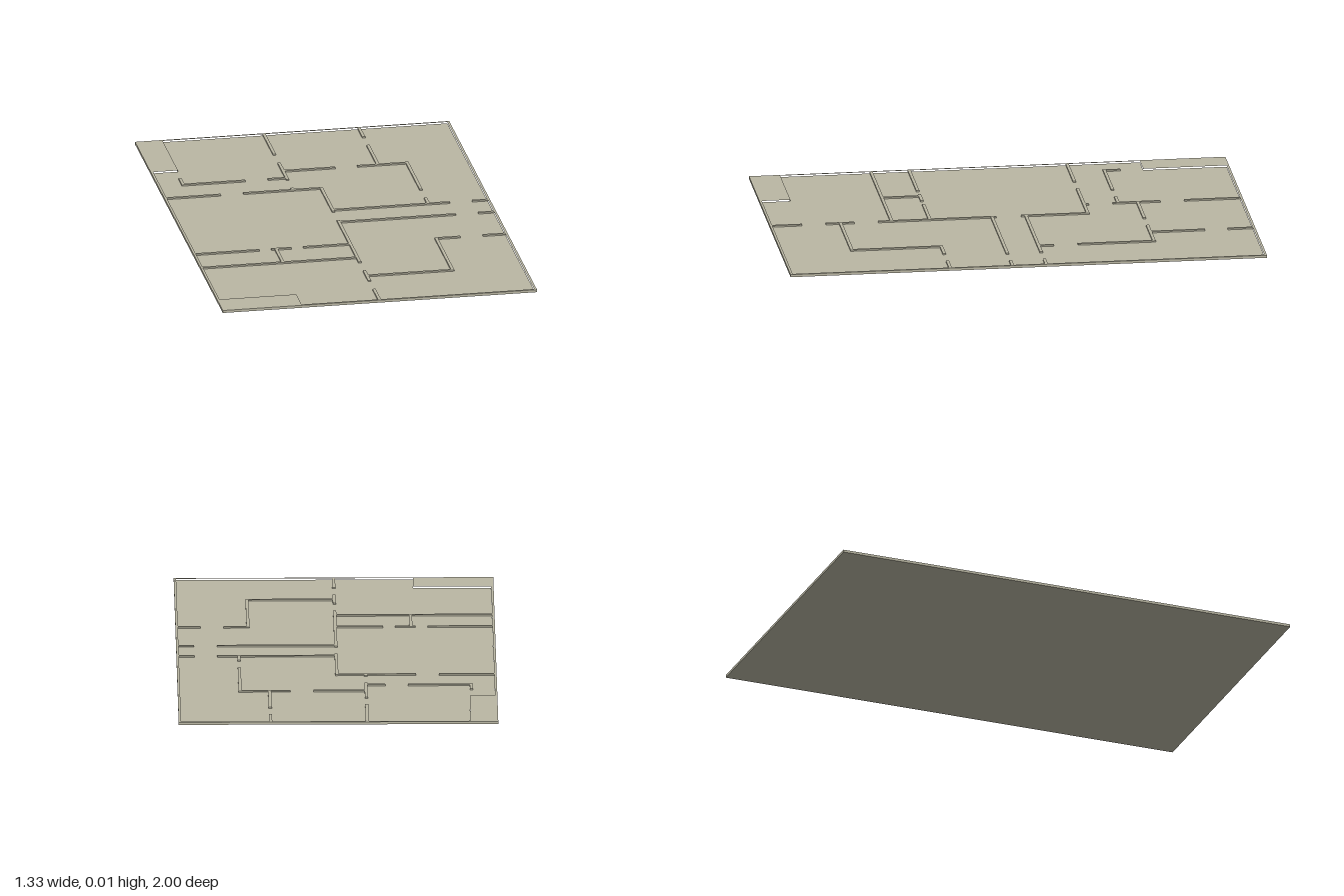
import * as THREE from 'three';

const W = 0.665, D = 1, TOP = 0.011, FLOOR = 0.005, T = 0.013, RIM = 0.01;

// Inner walls along x: [z, start x, end x]
const wallsAlongX = [
  [-0.56, -0.12, 0.1], [-0.56, 0.195, 0.411],
  [-0.478, -0.565, -0.295], [-0.478, -0.2, -0.12],
  [-0.335, -0.66, -0.425], [-0.335, -0.33, 0.006],
  [-0.075, 0, 0.495], [-0.075, 0.59, 0.66],
  [0.067, 0, 0.495], [0.067, 0.59, 0.66],
  [0.328, -0.66, -0.385], [0.328, -0.335, -0.25], [0.328, -0.2, 0],
  [0.328, 0.357, 0.465], [0.328, 0.56, 0.66],
  [0.488, -0.66, 0], [0.703, 0, 0.369],
];

// Inner walls along z: [x, start z, end z]
const wallsAlongZ = [
  [-0.12, -0.995, -0.755], [-0.12, -0.655, -0.455], [-0.12, -0.355, -0.335],
  [0.282, -0.995, -0.885], [0.282, -0.79, -0.56],
  [0.405, -0.566, -0.24], [0.405, -0.14, -0.075],
  [-0.558, -0.545, -0.472],
  [0, -0.341, -0.055], [0, 0.05, 0.545], [0, 0.645, 0.765], [0, 0.865, 0.995],
  [-0.315, 0.328, 0.488], [0.363, 0.322, 0.709],
];

// Plan points are (x, z); the extrusion is turned so that it rises along y
function extrudePlan(shape, height) {
  const geo = new THREE.ExtrudeGeometry(shape, { depth: height, bevelEnabled: false });
  return geo.rotateX(-Math.PI / 2);
}
const planPoints = (pts) => pts.map(([x, z]) => new THREE.Vector2(x, -z));

export function createModel() {
  const group = new THREE.Group();
  group.name = 'floorPlan';
  const stone = new THREE.MeshStandardMaterial({ color: 0xbab7a4 });
  stone.name = 'warm grey';

  const add = (name, geo, parent = group) => {
    const mesh = new THREE.Mesh(geo, stone);
    mesh.name = name;
    parent.add(mesh);
    return mesh;
  };

  // Interior outline, stepping around the two solid corners on the -x side
  const x = W - RIM, z = D - RIM;
  const interior = planPoints([
    [-0.55, -z], [x, -z], [x, z], [-0.33, z],
    [-0.33, 0.87], [-x, 0.87], [-x, -0.64], [-0.55, -0.64],
  ]);

  // Outer wall with its solid corners
  const outer = new THREE.Shape(planPoints([[-W, -D], [W, -D], [W, D], [-W, D]]));
  outer.holes.push(new THREE.Path(interior));
  add('outerWall', extrudePlan(outer, TOP));

  // Sunken floor
  add('floor', extrudePlan(new THREE.Shape(interior), FLOOR));

  // Partitions with door gaps
  const partitions = new THREE.Group();
  partitions.name = 'partitions';
  group.add(partitions);
  const h = TOP - FLOOR, y = FLOOR + h / 2;
  for (const [pz, a, b] of wallsAlongX) {
    add('partitionAcross', new THREE.BoxGeometry(b - a, h, T), partitions).position.set((a + b) / 2, y, pz);
  }
  for (const [px, a, b] of wallsAlongZ) {
    add('partitionAlong', new THREE.BoxGeometry(T, h, b - a), partitions).position.set(px, y, (a + b) / 2);
  }
  return group;
}
